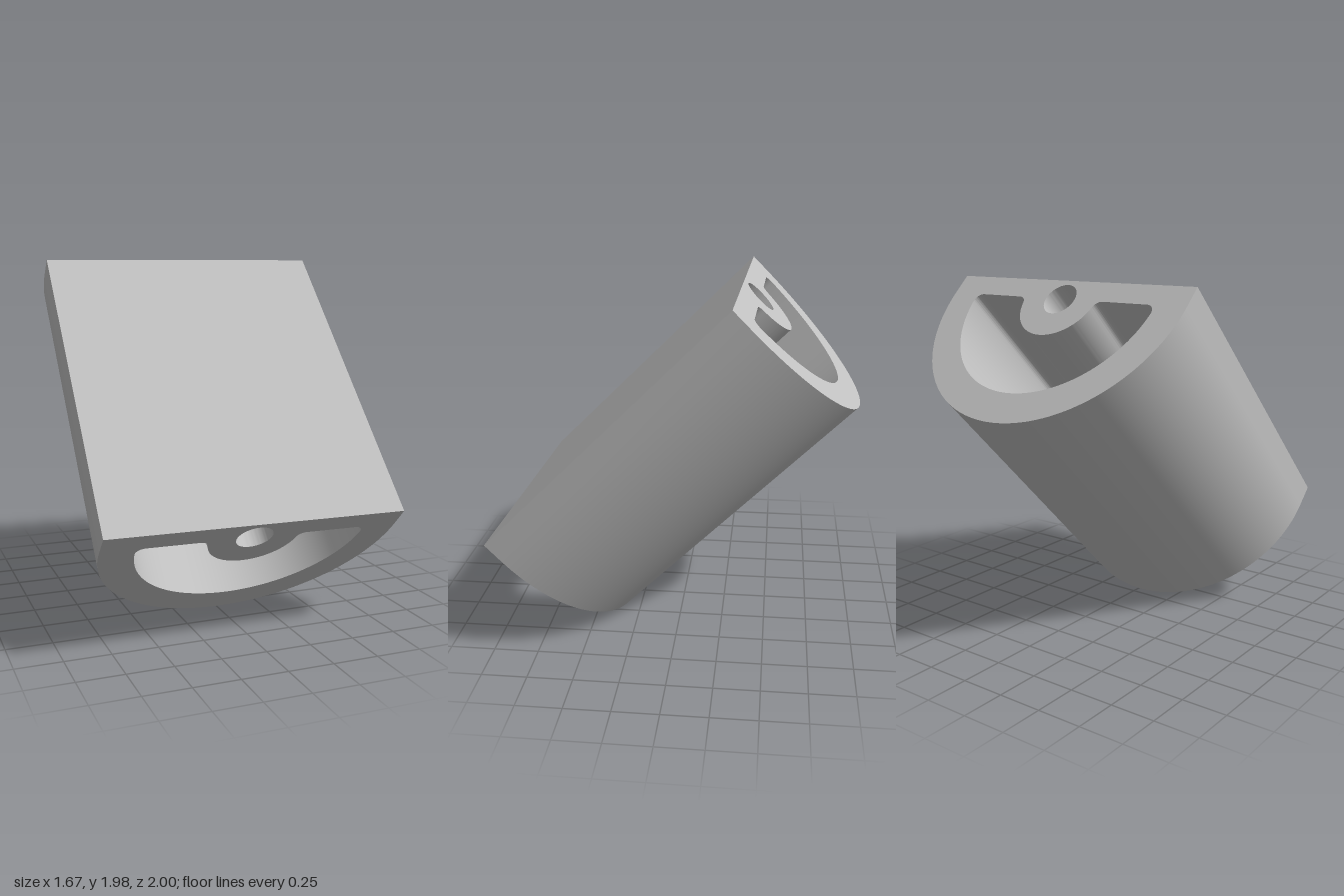
import * as THREE from 'three';
import { toCreasedNormals } from 'three/addons/utils/BufferGeometryUtils.js';

const LENGTH = 1.853;  // along the extrusion
const OUTER = 0.815;   // outer rounded wall
const INNER = 0.63;    // pocket wall
const BOSS = 0.248;    // boss around the bore
const BORE = 0.1;
const FILLET = 0.05;
const DROP = 0.13;     // flat face to the arc centre

// Drops coincident neighbours, so no sliver faces arise
function clean(path) {
  const pts = path.getPoints(40);
  return pts.filter((p, i) => p.distanceTo(pts[(i + 1) % pts.length]) > 1e-5);
}

function createProfile() {
  const PI = Math.PI;

  // D-shaped outline, centred on the bore
  const outline = new THREE.Path();
  outline.moveTo(-OUTER, DROP);
  outline.lineTo(-OUTER, 0);
  outline.absarc(0, 0, OUTER, PI, 2 * PI, false);
  outline.lineTo(OUTER, DROP);
  const shape = new THREE.Shape(clean(outline));

  // Half-moon pocket with filleted corners, wrapping the boss
  const r = FILLET;
  const a = Math.asin(r / (INNER - r));
  const b = Math.asin(r / (BOSS + r));
  const xo = (INNER - r) * Math.cos(a);
  const xi = (BOSS + r) * Math.cos(b);
  const pocket = new THREE.Path();
  pocket.absarc(0, 0, INNER, PI + a, 2 * PI - a, false);
  pocket.absarc(xo, -r, r, -a, PI / 2, false);
  pocket.absarc(xi, -r, r, PI / 2, PI - b, false);
  pocket.absarc(0, 0, BOSS, -b, -PI + b, true);
  pocket.absarc(-xi, -r, r, b, PI / 2, false);
  pocket.absarc(-xo, -r, r, PI / 2, PI + a, false);
  shape.holes.push(new THREE.Path(clean(pocket)));

  // Round bore
  const bore = new THREE.Path();
  bore.absarc(0, 0, BORE, 0, 2 * PI, false);
  shape.holes.push(new THREE.Path(clean(bore)));
  return shape;
}

export function createModel() {
  const group = new THREE.Group();
  group.name = 'hollowHalfRoundBlock';

  const grey = new THREE.MeshStandardMaterial({ color: 0xc0c0c0 });
  grey.name = 'light grey';

  const extruded = new THREE.ExtrudeGeometry(createProfile(), {
    depth: LENGTH, bevelEnabled: false, curveSegments: 40,
  });
  extruded.translate(0, -DROP, 0); // flat face at local y = 0
  const body = new THREE.Mesh(toCreasedNormals(extruded, 0.5), grey);
  body.name = 'body';

  // Tilted 45 degrees, with a slight turn about the flat face's normal
  const across = new THREE.Vector3(1, 0, 0.0306).normalize();
  const down = new THREE.Vector3(-0.0216, -0.7071, 0.7068).normalize();
  const normal = new THREE.Vector3().crossVectors(down, across).normalize();
  body.quaternion.setFromRotationMatrix(new THREE.Matrix4().makeBasis(across, normal, down));
  body.position.set(0.016, 1.98, -0.335);
  group.add(body);

  return group;
}
